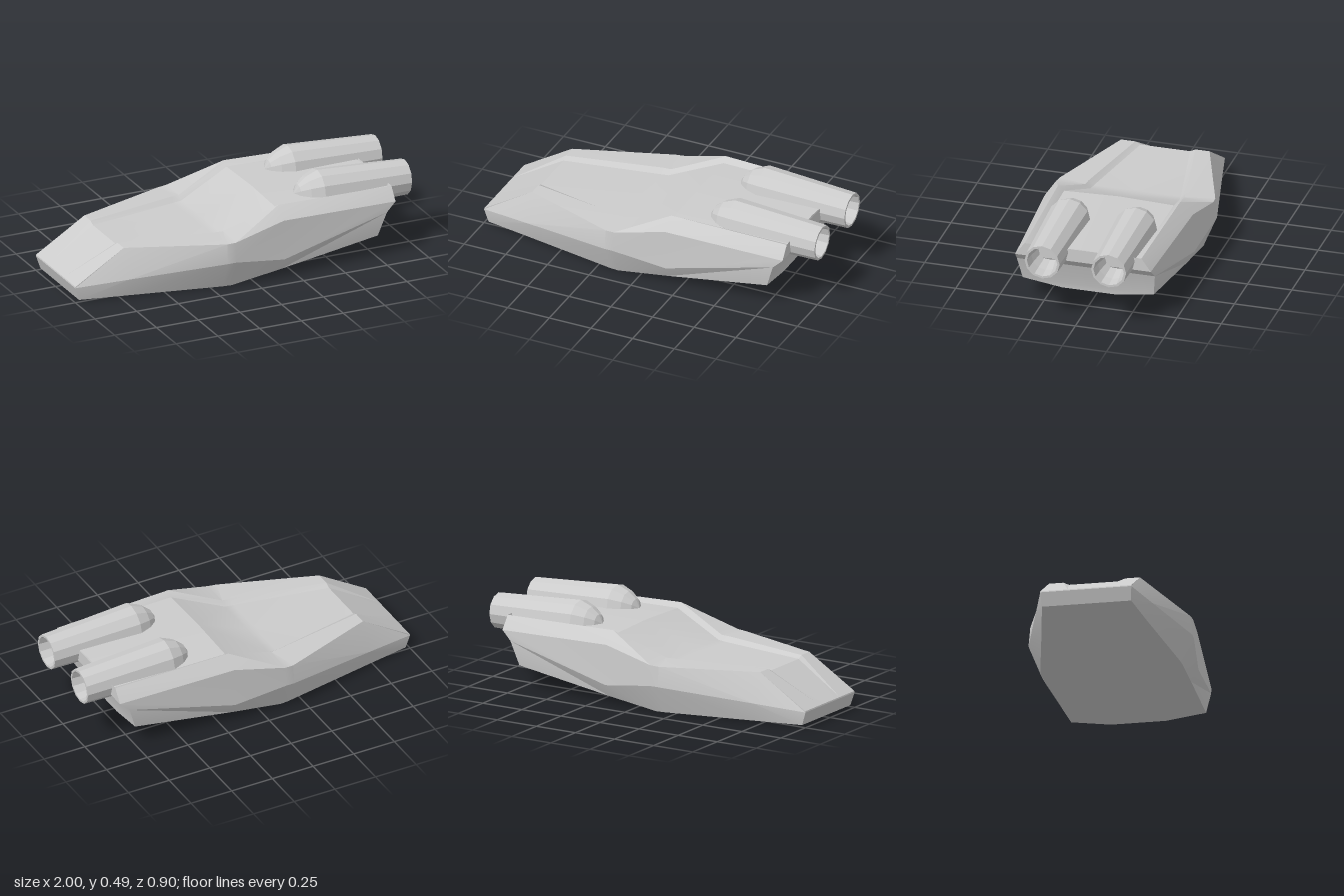
import * as THREE from 'three';
import { toCreasedNormals } from 'three/addons/utils/BufferGeometryUtils.js';

// Half cross-sections, nose to stern, as [x, y, z]:
// keel, floor, bilge, chine, shoulder, ridge, deck edge, deck centre
const at = (x, rows) => rows.map(([y, z]) => [x, y, z]);
const STATIONS = [
  [[-0.975, 0.01, 0], [-0.975, 0.01, 0.12], [-0.975, 0.01, 0.245], [-1, 0.085, 0.25],
    [-0.998, 0.092, 0.25], [-0.998, 0.092, 0.1], [-0.998, 0.092, 0.01], [-0.998, 0.092, 0]],
  at(-0.71, [[0.006, 0], [0.006, 0.13], [0.006, 0.29], [0.11, 0.32], [0.27, 0.25], [0.27, 0.17], [0.255, 0.14], [0.255, 0]]),
  at(-0.18, [[0, 0], [0, 0.15], [0, 0.385], [0.155, 0.45], [0.267, 0.44], [0.275, 0.275], [0.25, 0.245], [0.253, 0]]),
  at(-0.13, [[0, 0], [0, 0.15], [0, 0.39], [0.155, 0.45], [0.27, 0.445], [0.275, 0.28], [0.253, 0.25], [0.257, 0]]),
  at(0.17, [[0.033, 0], [0.033, 0.15], [0.04, 0.385], [0.11, 0.425], [0.335, 0.418], [0.4, 0.345], [0.375, 0.31], [0.385, 0]]),
  [[0.75, 0.092, 0], [0.75, 0.092, 0.15], [0.755, 0.125, 0.37], [0.8, 0.26, 0.39],
    [0.855, 0.312, 0.383], [0.855, 0.385, 0.33], [0.85, 0.37, 0.3], [0.845, 0.385, 0]],
];

// Joins the mirrored cross-sections into a closed hull
function hullGeometry() {
  const rings = STATIONS.map((half) => [
    ...half,
    ...half.slice(1, -1).reverse().map(([x, y, z]) => [x, y, -z]),
  ]);
  const n = rings[0].length;
  const index = [];
  const quad = (a, b, c, d) => index.push(a, b, c, a, c, d);
  for (let s = 0; s < rings.length - 1; s++) {
    for (let i = 0; i < n; i++) {
      const j = (i + 1) % n;
      const a = s * n, b = a + n;
      // split each side on matching diagonals so the hull stays symmetric
      if (i < n / 2) quad(a + i, b + i, b + j, a + j);
      else quad(b + i, b + j, a + j, a + i);
    }
  }
  // nose and stern caps, as strips from side to side
  const last = (rings.length - 1) * n;
  for (let i = 0; i < n / 2; i++) {
    const l = (n - i) % n, l2 = n - i - 1;
    quad(i, i + 1, l2, l);
    quad(last + i, last + l, last + l2, last + i + 1);
  }
  const geo = new THREE.BufferGeometry();
  geo.setAttribute('position', new THREE.Float32BufferAttribute(rings.flat(2), 3));
  geo.setIndex(index);
  return toCreasedNormals(geo, 0.35);
}

// Blunt-nosed engine tube with a tapering bore, along +x
function engineGeometry() {
  const profile = [
    [0, 0], [0.05, 0.025], [0.088, 0.07], [0.118, 0.14], [0.099, 0.665],
    [0.086, 0.665], [0.08, 0.6], [0.04, 0.4], [0, 0.4],
  ].map(([r, h]) => new THREE.Vector2(r, h));
  return new THREE.LatheGeometry(profile, 12).rotateZ(-Math.PI / 2);
}

export function createModel() {
  const model = new THREE.Group();
  model.name = 'spacecraft';

  const hull = new THREE.Mesh(hullGeometry(), new THREE.MeshStandardMaterial({ color: 0xcccccc }));
  hull.name = 'hull';
  model.add(hull);

  // Twin engines, tilted slightly down towards the stern
  const engineMaterial = new THREE.MeshStandardMaterial({ color: 0xcccccc, flatShading: true });
  const engineGeo = engineGeometry();
  for (const side of [1, -1]) {
    const engine = new THREE.Mesh(engineGeo, engineMaterial);
    engine.name = side > 0 ? 'engineFront' : 'engineBack';
    engine.position.set(0.335, 0.377, side * 0.188);
    engine.rotation.z = -0.028;
    model.add(engine);
  }
  return model;
}
